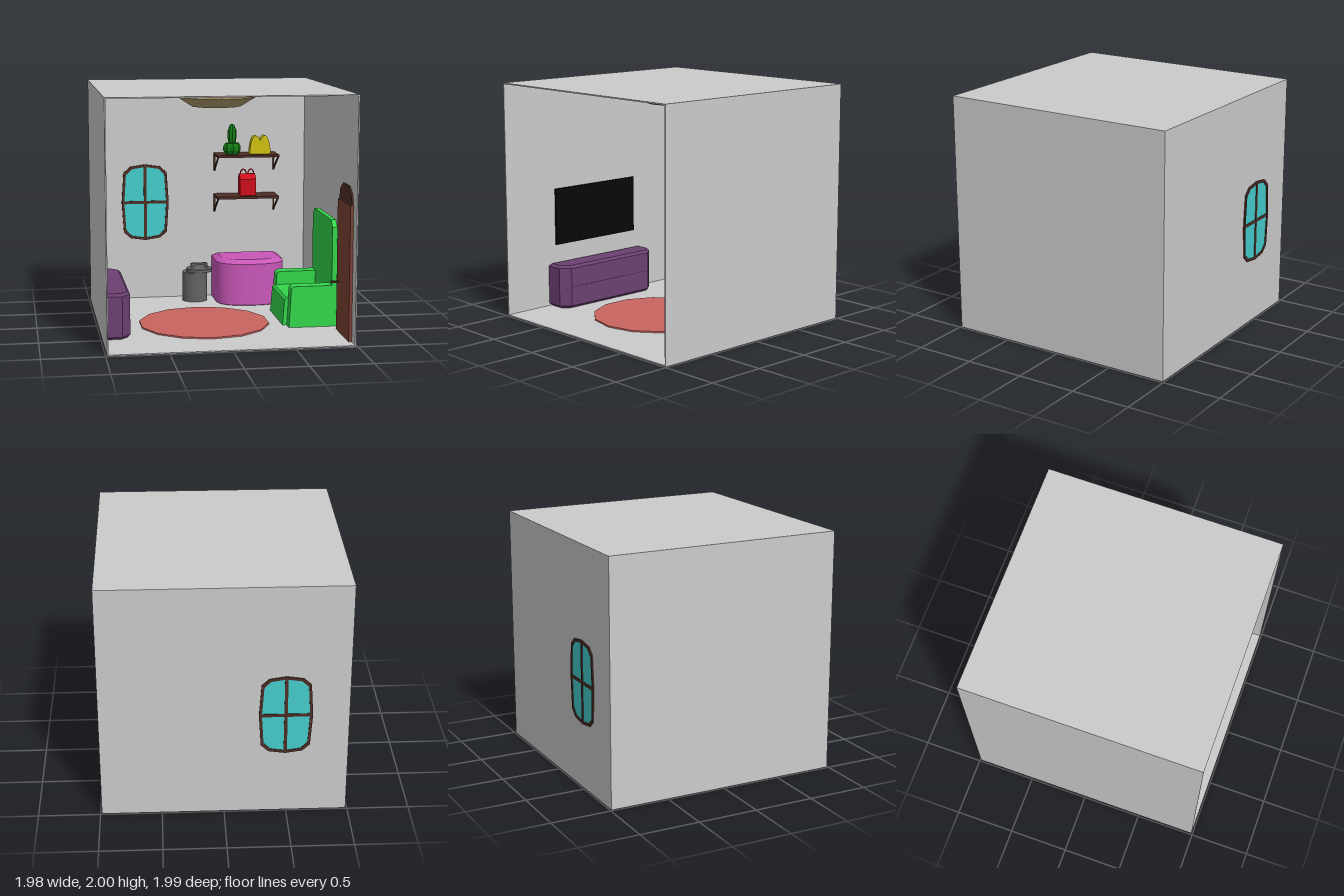
import * as THREE from 'three';
import { toCreasedNormals } from 'three/addons/utils/BufferGeometryUtils.js';

const material = (color, flatShading = false) =>
  new THREE.MeshStandardMaterial({ color, flatShading, side: THREE.DoubleSide });

export function createModel() {
  const room = new THREE.Group();
  room.name = 'room';
  const grey = material(0xcccccc), wood = material(0x4f2e26), doorWood = material(0x7a4233);
  const green = material(0x33d64c), steel = material(0x636363);

  const add = (name, geometry, mat, parent = room) => {
    const mesh = new THREE.Mesh(geometry, mat);
    mesh.name = name;
    parent.add(mesh);
    return mesh;
  };
  const group = (name) => {
    const g = new THREE.Group();
    g.name = name;
    room.add(g);
    return g;
  };
  // Box given by its minimum and maximum corners
  const box = (name, a, b, mat, parent) => {
    const mesh = add(name, new THREE.BoxGeometry(b[0] - a[0], b[1] - a[1], b[2] - a[2]), mat, parent);
    mesh.position.set((a[0] + b[0]) / 2, (a[1] + b[1]) / 2, (a[2] + b[2]) / 2);
    return mesh;
  };
  const polygon = (pts) => new THREE.Shape(pts.map(([x, y]) => new THREE.Vector2(x, y)));
  // Front outline pushed along z from z0 to z1
  const extrudeZ = (shape, z0, z1) =>
    new THREE.ExtrudeGeometry(shape, { depth: z1 - z0, bevelEnabled: false, curveSegments: 10 }).translate(0, 0, z0);
  // Plan outline (x, -z) raised from y0 to y1 with a bevel of the given size
  const raise = (shape, y0, y1, rise, inset) =>
    new THREE.ExtrudeGeometry(shape, {
      depth: y1 - y0 - 2 * rise, bevelThickness: rise, bevelSize: inset, bevelOffset: -inset, bevelSegments: 1, curveSegments: 12,
    }).rotateX(-Math.PI / 2).translate(0, y0 + rise, 0);
  const lathe = (pts, sides) => new THREE.LatheGeometry(pts.map(([x, y]) => new THREE.Vector2(x, y)), sides);

  // Shell, open at the front
  const X = 0.988, Z = 0.99, T = 0.01;
  box('floor', [-X, 0, -Z], [X, T, Z], grey);
  box('ceiling', [-X, 2 - T, -Z], [X, 2, Z], grey);
  box('backWall', [-X, T, -Z], [X, 2 - T, -Z + T], grey);
  for (const s of [-1, 1]) {
    const x = s * (X - T / 2);
    box(s > 0 ? 'leftWall' : 'rightWall', [x - T / 2, T, -Z + T], [x + T / 2, 2 - T, Z], grey);
  }

  // Window set through the back wall
  const win = group('window');
  win.position.set(-0.485, 0.89, 0);
  const quarter = [[0.213, 0], [0.195, 0.27], [0.135, 0.325], [0, 0.345]];
  const outline = [
    ...quarter,
    ...quarter.slice(0, 3).reverse().map(([x, y]) => [-x, y]),
    ...quarter.slice(1).map(([x, y]) => [-x, -y]),
    ...quarter.slice(1, 3).reverse().map(([x, y]) => [x, -y]),
  ];
  const pane = outline.map(([x, y]) => [x * 0.89, y * 0.935]);
  const frame = polygon(outline);
  frame.holes.push(polygon(pane));
  add('windowFrame', extrudeZ(frame, -1, -0.965), wood, win);
  add('windowPane', extrudeZ(polygon(pane), -0.994, -0.973), material(0x45cccc), win);
  box('verticalBar', [-0.013, -0.335, -0.999], [0.013, 0.335, -0.967], wood, win);
  box('horizontalBar', [-0.205, -0.013, -0.999], [0.205, 0.013, -0.967], wood, win);

  // Television on the right wall
  box('television', [-0.978, 0.545, -0.43], [-0.96, 1.04, 0.47], material(0x080808));

  // Low cabinet below it, with cut corners
  const purple = material(0x6b4072);
  const cabinet = group('cabinet');
  const plan = polygon([[-0.975, -0.55], [-0.83, -0.55], [-0.76, -0.47], [-0.76, 0.42], [-0.83, 0.5], [-0.975, 0.5]]);
  add('cabinetBody', raise(plan, 0.012, 0.39, 0.022, 0.022), purple, cabinet);
  box('drawerSeam', [-0.765, 0.2, -0.42], [-0.759, 0.204, 0.47], material(0x3b2342), cabinet);

  // Round rug
  const rug = add('rug', new THREE.CylinderGeometry(0.55, 0.55, 0.012, 14), material(0xc96561, true));
  rug.position.set(-0.1, 0.016, 0.07);

  // Ceiling lamp
  const lamp = add('ceilingLamp', lathe([[0, 1.84], [0.21, 1.84], [0.34, 1.92], [0.34, 1.95], [0.155, 1.955], [0.155, 1.99]], 10),
    material(0xb59f6e, true));
  lamp.position.x = 0.01;

  // Two wall shelves with end brackets
  for (const [name, y] of [['upperShelf', 1.33], ['lowerShelf', 0.957]]) {
    const shelf = group(name);
    box('board', [0.14, y - 0.022, -0.98], [0.7, y, -0.74], wood, shelf);
    for (const x of [0.142, 0.686]) {
      box('wallArm', [x, y - 0.165, -0.98], [x + 0.012, y - 0.02, -0.965], wood, shelf);
      const brace = polygon([[0.98, y - 0.165], [0.98, y - 0.14], [0.76, y - 0.022], [0.74, y - 0.022]]);
      add('brace', extrudeZ(brace, 0, 0.012).rotateY(Math.PI / 2).translate(x, 0, 0), wood, shelf);
    }
  }

  // Cactus: ribbed round base and a tall ribbed stem
  const cactus = group('cactus');
  cactus.position.set(0.29, 1.33, -0.86);
  const ribbed = (pts) => {
    const g = lathe(pts, 16), p = g.attributes.position;
    for (let i = 0; i < p.count; i++) {
      const k = 1 + 0.08 * Math.cos(8 * Math.atan2(p.getX(i), p.getZ(i)));
      p.setXYZ(i, p.getX(i) * k, p.getY(i), p.getZ(i) * k);
    }
    return g;
  };
  const leaf = material(0x147d14, true);
  add('cactusBase', ribbed([[0, 0], [0.055, 0], [0.074, 0.035], [0.074, 0.065], [0.058, 0.1], [0, 0.1]]), leaf, cactus);
  add('cactusStem', ribbed([[0, 0.09], [0.028, 0.09], [0.038, 0.15], [0.038, 0.21], [0.025, 0.245]]), leaf, cactus);
  add('cactusTip', ribbed([[0.025, 0.245], [0.017, 0.265], [0, 0.27]]), leaf, cactus);

  // Yellow ornament with two humps
  const humps = new THREE.Shape();
  humps.moveTo(0.445, 1.33);
  humps.bezierCurveTo(0.452, 1.45, 0.475, 1.495, 0.5, 1.495);
  humps.quadraticCurveTo(0.522, 1.495, 0.541, 1.452);
  humps.quadraticCurveTo(0.562, 1.495, 0.583, 1.495);
  humps.bezierCurveTo(0.608, 1.495, 0.63, 1.45, 0.637, 1.33);
  add('yellowOrnament', toCreasedNormals(extrudeZ(humps, -0.9, -0.82), 0.6), material(0xcfc013));

  // Red carton with a pitched top and two loop handles
  const red = material(0xcc0f1c);
  const carton = group('redCarton');
  const side = polygon([[-0.065, 0.957], [0.065, 0.957], [0.065, 1.105], [0.012, 1.15], [-0.012, 1.15], [-0.065, 1.105]]);
  add('cartonBody', extrudeZ(side, 0, 0.145).rotateY(Math.PI / 2).translate(0.355, 0, -0.86), red, carton);
  for (const x of [0.393, 0.462]) {
    const loop = new THREE.CatmullRomCurve3([[-0.028, 1.14], [-0.02, 1.175], [0, 1.19], [0.02, 1.175], [0.028, 1.14]]
      .map(([dx, y]) => new THREE.Vector3(x + dx, y, -0.86)));
    add('cartonHandle', new THREE.TubeGeometry(loop, 16, 0.006, 6), red, carton);
  }

  // Lidded bin
  const bin = group('bin');
  bin.position.set(-0.055, 0, -0.82);
  add('binBody', toCreasedNormals(lathe([[0, 0.012], [0.112, 0.012], [0.112, 0.275], [0, 0.275]], 24), 0.6), steel, bin);
  add('binLid', toCreasedNormals(lathe([[0, 0.275], [0.115, 0.275], [0.115, 0.305], [0, 0.305]], 24), 0.6), steel, bin)
    .position.x = 0.04;
  for (const x of [-0.035, 0.095]) box('handlePost', [x, 0.3, -0.015], [x + 0.02, 0.345, 0.015], steel, bin);
  box('handleGrip', [-0.03, 0.33, -0.015], [0.11, 0.35, 0.015], steel, bin);

  // Pink counter with a rounded front and bevelled top
  const counter = new THREE.Shape();
  counter.moveTo(0.12, 0.97);
  counter.lineTo(0.12, 0.72);
  counter.quadraticCurveTo(0.125, 0.5, 0.425, 0.5);
  counter.quadraticCurveTo(0.725, 0.5, 0.73, 0.72);
  counter.lineTo(0.73, 0.97);
  const pink = material(0xc957b8);
  add('pinkCounter', toCreasedNormals(raise(counter, 0.012, 0.385, 0.004, 0.004), 0.5), pink);
  add('pinkCounterTop', toCreasedNormals(raise(counter, 0.345, 0.42, 0.035, 0.05), 0.5), pink);

  // Sofa along the left wall
  const sofa = group('sofa');
  const arm = new THREE.Shape();
  arm.moveTo(0.95, 0.012);
  arm.lineTo(0.95, 0.36);
  arm.lineTo(0.635, 0.36);
  arm.quadraticCurveTo(0.595, 0.36, 0.593, 0.32);
  arm.lineTo(0.575, 0.012);
  for (const z of [-0.4, 0.23]) add('armrest', toCreasedNormals(extrudeZ(arm, z, z + 0.12), 0.6), green, sofa);
  const seat = polygon([[0.54, 0.012], [0.95, 0.012], [0.95, 0.245], [0.575, 0.245], [0.557, 0.225]]);
  add('seat', extrudeZ(seat, -0.3, 0.25), green, sofa);
  const back = polygon([[0.4, 0.012], [0.4, 0.85], [0.34, 0.905], [-0.29, 0.905], [-0.35, 0.85], [-0.35, 0.012]]);
  add('backrest', extrudeZ(back, 0, 0.04).rotateY(Math.PI / 2).translate(0.937, 0, 0), green, sofa);

  // Door on the left wall, near the opening
  const door = group('door');
  box('doorPanel', [0.953, 0.012, 0.45], [0.978, 1.113, 0.88], doorWood, door);
  const arch = polygon([[-0.88, 1.11], [-0.45, 1.11], [-0.48, 1.2], [-0.57, 1.255], [-0.76, 1.255], [-0.85, 1.2]]);
  add('doorArch', extrudeZ(arch, 0, 0.013).rotateY(Math.PI / 2).translate(0.965, 0, 0), wood, door);
  box('doorHandle', [0.888, 0.42, 0.5], [0.955, 0.435, 0.53], wood, door);

  return room;
}
